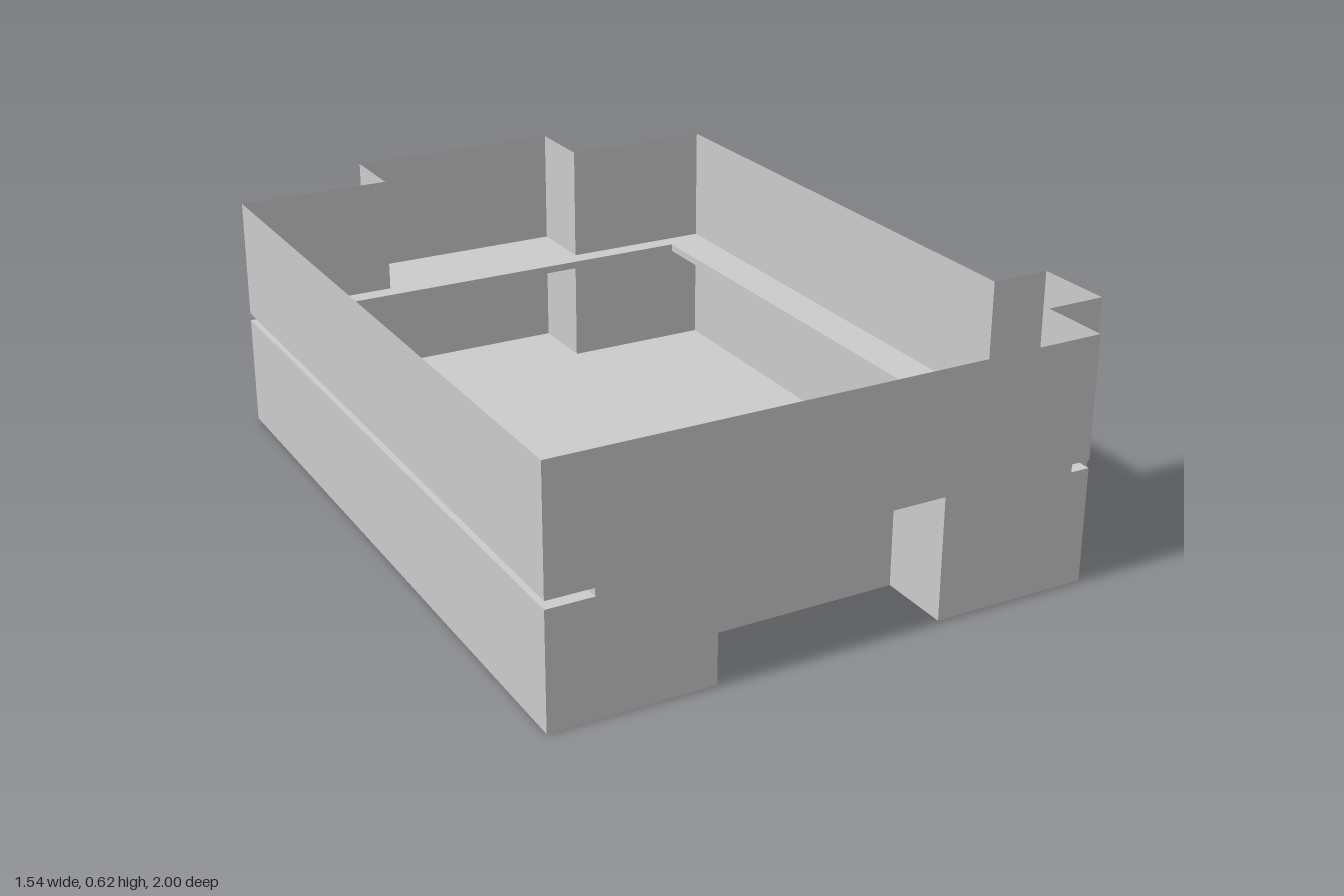
import * as THREE from 'three';

const material = new THREE.MeshStandardMaterial({
  color: 0xcccccc, flatShading: true, side: THREE.DoubleSide,
});

// Heights: top rim and the two faces of the slot that runs round the tray
const TOP = 0.62, SLOT_TOP = 0.31, SLOT_BOTTOM = 0.29;

// Outlines are [x, z] corners. Back and side edges carry the locking tabs.
const sides = [
  [-0.77, 1], [-0.77, -0.81], [-0.365, -0.81], [-0.365, -1], [0.212, -1],
  [0.212, -0.81], [0.615, -0.81], [0.615, 0.615], [0.77, 0.615],
  [0.77, 0.82], [0.615, 0.82], [0.615, 1],
];
const notch = (depth) => [[0.212, 1], [0.212, depth], [-0.365, depth], [-0.365, 1]];
const lowerOutline = [...sides, ...notch(0.81)];
const slotOutline = [
  [-0.655, 1], [-0.655, -0.76], [0.505, -0.76], [0.505, 0.615], [0.77, 0.615],
  [0.77, 0.82], [0.565, 0.82], [0.565, 1], ...notch(0.765),
];

// Closed band of upright panels along an outline, facing outwards
function walls(name, outline, y0, y1) {
  const positions = [];
  outline.forEach(([ax, az], i) => {
    const [bx, bz] = outline[(i + 1) % outline.length];
    positions.push(
      ax, y0, az, bx, y1, bz, bx, y0, bz,
      ax, y0, az, ax, y1, az, bx, y1, bz,
    );
  });
  const geometry = new THREE.BufferGeometry();
  geometry.setAttribute('position', new THREE.Float32BufferAttribute(positions, 3));
  geometry.computeVertexNormals();
  return named(name, geometry);
}

// Flat sheet at height y
function sheet(name, outline, y) {
  const shape = new THREE.Shape(outline.map(([x, z]) => new THREE.Vector2(x, z)));
  const geometry = new THREE.ShapeGeometry(shape);
  geometry.rotateX(Math.PI / 2).translate(0, y, 0);
  return named(name, geometry);
}

function named(name, geometry) {
  const mesh = new THREE.Mesh(geometry, material);
  mesh.name = name;
  return mesh;
}

const rectangle = (x0, x1, z0, z1) => [[x0, z0], [x1, z0], [x1, z1], [x0, z1]];

export function createModel() {
  const tray = new THREE.Group();
  tray.name = 'tray';

  // Floor and the three bands of wall
  tray.add(
    sheet('floor', lowerOutline, 0),
    walls('lowerWalls', lowerOutline, 0, SLOT_BOTTOM),
    walls('slotInnerWalls', slotOutline, SLOT_BOTTOM, SLOT_TOP),
    walls('upperWalls', sides, SLOT_TOP, TOP),
  );

  // Ledges above and below the slot: long U, short front piece, notch roof
  const longLedge = [
    ...sides.slice(0, 8),
    [0.505, 0.615], [0.505, -0.76], [-0.655, -0.76], [-0.655, 1],
  ];
  for (const [level, y, notchFront] of [['lower', SLOT_BOTTOM, 0.81], ['upper', SLOT_TOP, 1]]) {
    tray.add(
      sheet(level + 'LongLedge', longLedge, y),
      sheet(level + 'ShortLedge', rectangle(0.565, 0.615, 0.82, 1), y),
      sheet(level + 'NotchLedge', rectangle(-0.365, 0.212, 0.765, notchFront), y),
    );
  }
  return tray;
}
